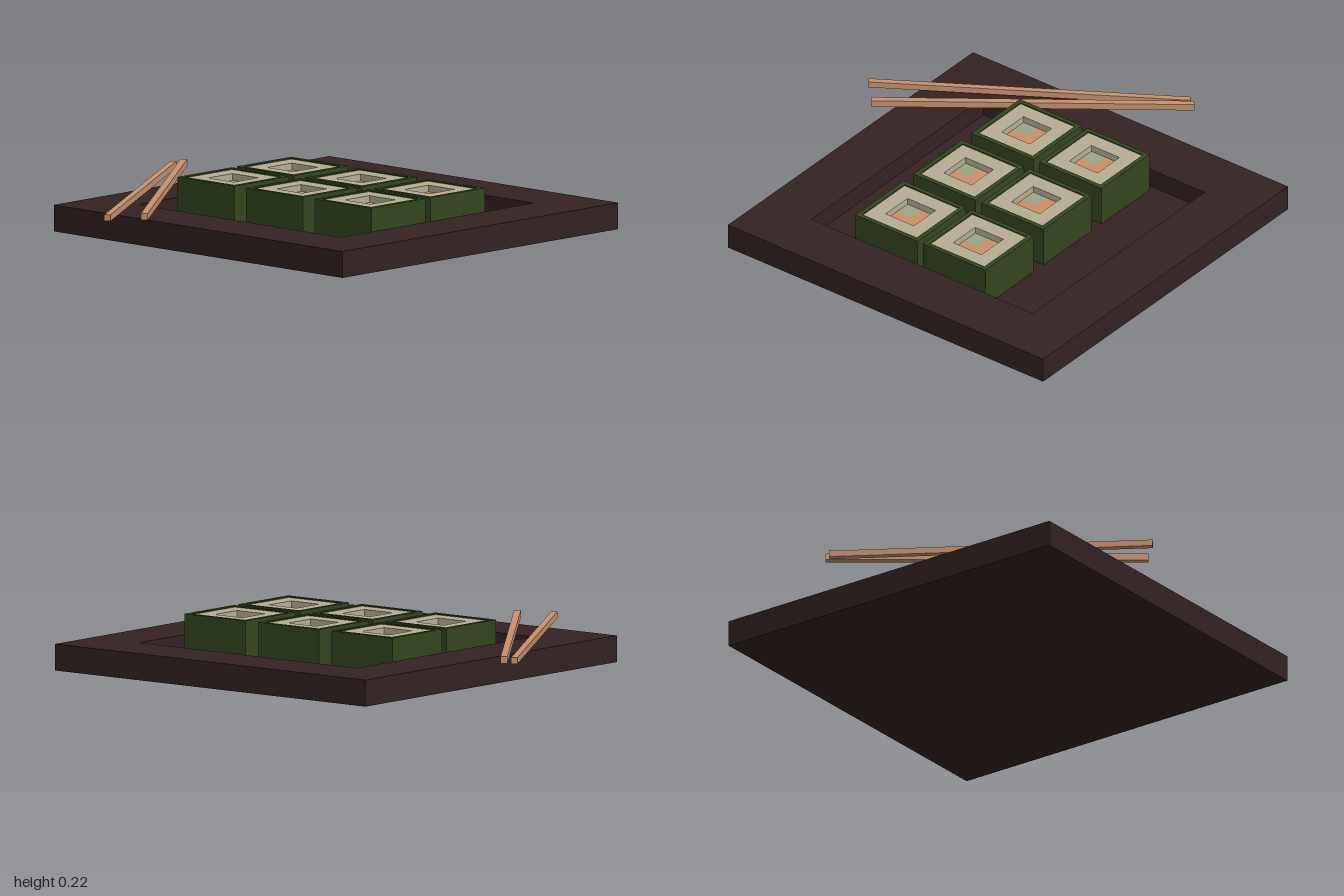
import * as THREE from 'three';

const mat = (color) => new THREE.MeshStandardMaterial({ color, flatShading: true });
const lacquer = mat(0x332222);
const seaweed = mat(0x34451f);
const riceWhite = mat(0xb5ae93);
const salmon = mat(0xcd8f66);
const cucumber = mat(0x9ca586);
const wood = mat(0xc79270);

function mesh(name, geometry, material, x = 0, y = 0, z = 0) {
  const m = new THREE.Mesh(geometry, material);
  m.name = name;
  m.position.set(x, y, z);
  return m;
}

function trace(path, w, d) {
  path.moveTo(-w / 2, -d / 2);
  path.lineTo(w / 2, -d / 2);
  path.lineTo(w / 2, d / 2);
  path.lineTo(-w / 2, d / 2);
  path.closePath();
  return path;
}

// Upright rectangular frame standing on y = 0, with a through hole
function frame(w, d, holeW, holeD, height, holeX = 0, holeZ = 0) {
  const shape = trace(new THREE.Shape(), w, d);
  const hole = trace(new THREE.Shape(), holeW, holeD).getPoints()
    .map((p) => new THREE.Vector2(p.x + holeX, p.y - holeZ));
  shape.holes.push(new THREE.Path(hole));
  return new THREE.ExtrudeGeometry(shape, { depth: height, bevelEnabled: false }).rotateX(-Math.PI / 2);
}

const FLOOR = 0.03;

// Square roll: seaweed wrap, rice ring and four sunken filling strips
function createRoll() {
  const roll = new THREE.Group();
  roll.name = 'sushiRoll';
  roll.add(mesh('seaweedWrap', frame(0.343, 0.343, 0.3, 0.3, 0.185), seaweed));
  roll.add(mesh('rice', frame(0.3, 0.3, 0.155, 0.155, 0.18), riceWhite));
  const s = 0.155 / 2;
  for (const i of [-1, 1]) {
    for (const j of [-1, 1]) {
      const green = i < 0 && j > 0;
      roll.add(mesh(green ? 'cucumberStrip' : 'salmonStrip', new THREE.BoxGeometry(s, 0.15, s),
        green ? cucumber : salmon, i * s / 2, 0.075, j * s / 2));
    }
  }
  return roll;
}

// Square stick between two points on the top plane
function createChopstick(x0, z0, x1, z1, y, thickness) {
  const length = Math.hypot(x1 - x0, z1 - z0);
  const stick = mesh('chopstick', new THREE.BoxGeometry(thickness, thickness, length), wood,
    (x0 + x1) / 2, y, (z0 + z1) / 2);
  stick.rotation.y = Math.atan2(x1 - x0, z1 - z0);
  return stick;
}

export function createModel() {
  const model = new THREE.Group();
  model.name = 'sushiPlate';

  // Square plate with a sunken middle
  const plate = new THREE.Group();
  plate.name = 'plate';
  plate.position.set(0.13, 0, -0.103);
  plate.add(mesh('plateRim', frame(1.74, 1.74, 1.22, 1.22, 0.117), lacquer));
  plate.add(mesh('plateFloor', new THREE.BoxGeometry(1.22, FLOOR, 1.22), lacquer, 0, FLOOR / 2, 0));
  model.add(plate);

  // Two rows of three rolls
  for (const x of [-0.282, 0.13, 0.542]) {
    for (const z of [-0.26, 0.114]) {
      const roll = createRoll();
      roll.position.set(x, FLOOR, z);
      model.add(roll);
    }
  }

  // Pair of chopsticks across the corner
  model.add(createChopstick(-0.985, -0.245, -0.238, 0.955, 0.142, 0.028));
  model.add(createChopstick(-0.96, -0.285, -0.12, 0.845, 0.148, 0.03));
  return model;
}
